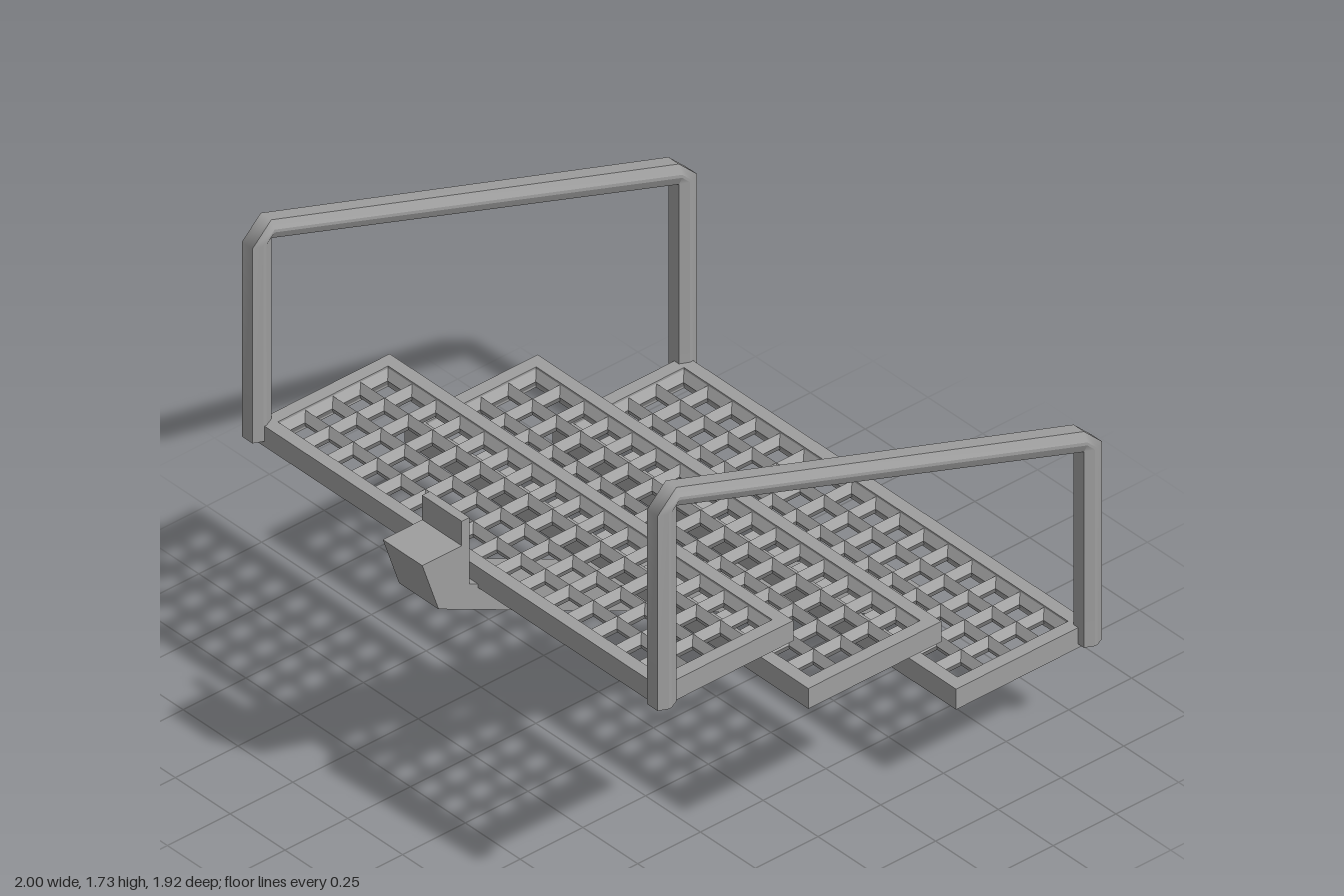
import * as THREE from 'three';

const material = new THREE.MeshStandardMaterial({ color: 0x9e9e9e, flatShading: true });
const railMaterial = new THREE.MeshStandardMaterial({ color: 0x9e9e9e });

function addMesh(parent, name, geometry, x = 0, y = 0, z = 0, mat = material) {
  const mesh = new THREE.Mesh(geometry, mat);
  mesh.name = name;
  mesh.position.set(x, y, z);
  parent.add(mesh);
}

// Tread: rectangular frame around a grid of diamond-section bars
const TREAD = { w: 0.53, d: 1.84, h: 0.075, rim: 0.045, cols: 4, rows: 16 };

function makeTread(name) {
  const tread = new THREE.Group();
  tread.name = name;
  const { w, d, h, rim, cols, rows } = TREAD;
  const iw = w - 2 * rim, id = d - 2 * rim;

  const rect = (Type, a, b) => new Type([
    new THREE.Vector2(-a, -b), new THREE.Vector2(a, -b),
    new THREE.Vector2(a, b), new THREE.Vector2(-a, b),
  ]);
  const shape = rect(THREE.Shape, w / 2, d / 2);
  shape.holes.push(rect(THREE.Path, iw / 2, id / 2));
  const frame = new THREE.ExtrudeGeometry(shape, { depth: h, bevelEnabled: false });
  frame.rotateX(Math.PI / 2);
  addMesh(tread, 'treadFrame', frame);

  const halfW = 0.0175, halfH = 0.03;
  const longBar = new THREE.CylinderGeometry(1, 1, id, 4, 1, true)
    .rotateX(Math.PI / 2).scale(halfW, halfH, 1);
  const crossBar = new THREE.CylinderGeometry(1, 1, iw, 4, 1, true)
    .rotateZ(Math.PI / 2).scale(1, halfH, halfW);
  for (let i = 0; i <= cols; i++) addMesh(tread, 'longBar', longBar, -iw / 2 + (iw * i) / cols, -h / 2, 0);
  for (let i = 0; i <= rows; i++) addMesh(tread, 'crossBar', crossBar, 0, -h / 2, -id / 2 + (id * i) / rows);
  return tread;
}

// Handrail: eight-sided section lofted through inner/outer edge points.
// Each side is its own strip, so it is smooth along the bends and sharp around the section.
function makeRailGeometry() {
  const rings = [ // inner x, inner y, outer x, outer y
    [-0.737, 0.945, -0.812, 0.945],
    [-0.737, 1.665, -0.812, 1.66],
    [-0.737, 1.665, -0.737, 1.732],
    [0.888, 1.105, 0.888, 1.18],
    [0.888, 1.105, 0.96, 1.11],
    [0.888, 0.385, 0.96, 0.385],
  ];
  const section = [ // across the rail (-1..1), sideways
    [1, -0.024], [1, 0.024], [0.15, 0.039], [-0.15, 0.039],
    [-1, 0.024], [-1, -0.024], [-0.15, -0.039], [0.15, -0.039],
  ];
  const n = section.length, positions = [], index = [];
  const addPoint = ([ix, iy, ox, oy], [a, z]) => positions.push(
    (ix + ox) / 2 + (a * (ox - ix)) / 2, (iy + oy) / 2 + (a * (oy - iy)) / 2, z);

  section.forEach((point, j) => {
    const start = positions.length / 3;
    rings.forEach((ring, r) => {
      addPoint(ring, point);
      addPoint(ring, section[(j + 1) % n]);
      if (r === 0) return;
      const c = start + 2 * r, a = c - 2;
      index.push(a, a + 1, c + 1, a, c + 1, c);
    });
  });

  // Flat caps at both feet
  const foot = positions.length / 3;
  for (const ring of [rings[0], rings[rings.length - 1]]) section.forEach((p) => addPoint(ring, p));
  for (let j = 1; j < n - 1; j++) {
    index.push(foot, foot + j + 1, foot + j, foot + n, foot + n + j, foot + n + j + 1);
  }

  const geometry = new THREE.BufferGeometry();
  geometry.setAttribute('position', new THREE.Float32BufferAttribute(positions, 3));
  geometry.setIndex(index);
  geometry.computeVertexNormals();
  return geometry;
}

// Central sloping beam with its stepped mounting head
function makeBeamGeometry() {
  const profile = [
    [1, 0], [1, 0.095], [-0.77, 0.935], [-0.812, 0.955], [-0.812, 1.2],
    [-0.843, 1.2], [-0.843, 1.11], [-1, 1.11], [-0.935, 0.92],
  ].map(([x, y]) => new THREE.Vector2(x, y));
  const geometry = new THREE.ExtrudeGeometry(new THREE.Shape(profile), { depth: 0.18, bevelEnabled: false });
  return geometry.translate(0, 0, -0.09);
}

export function createModel() {
  const model = new THREE.Group();
  model.name = 'steps';

  addMesh(model, 'centralBeam', makeBeamGeometry());

  // Three treads, top to bottom
  [['upperTread', -0.512, 1.0], ['middleTread', 0.078, 0.722], ['lowerTread', 0.667, 0.445]]
    .forEach(([name, x, y]) => {
      const tread = makeTread(name);
      tread.position.set(x, y, 0);
      model.add(tread);
    });

  // A handrail on each side
  const rail = makeRailGeometry();
  addMesh(model, 'frontHandrail', rail, 0, 0, 0.923, railMaterial);
  addMesh(model, 'backHandrail', rail, 0, 0, -0.923, railMaterial);

  return model;
}
